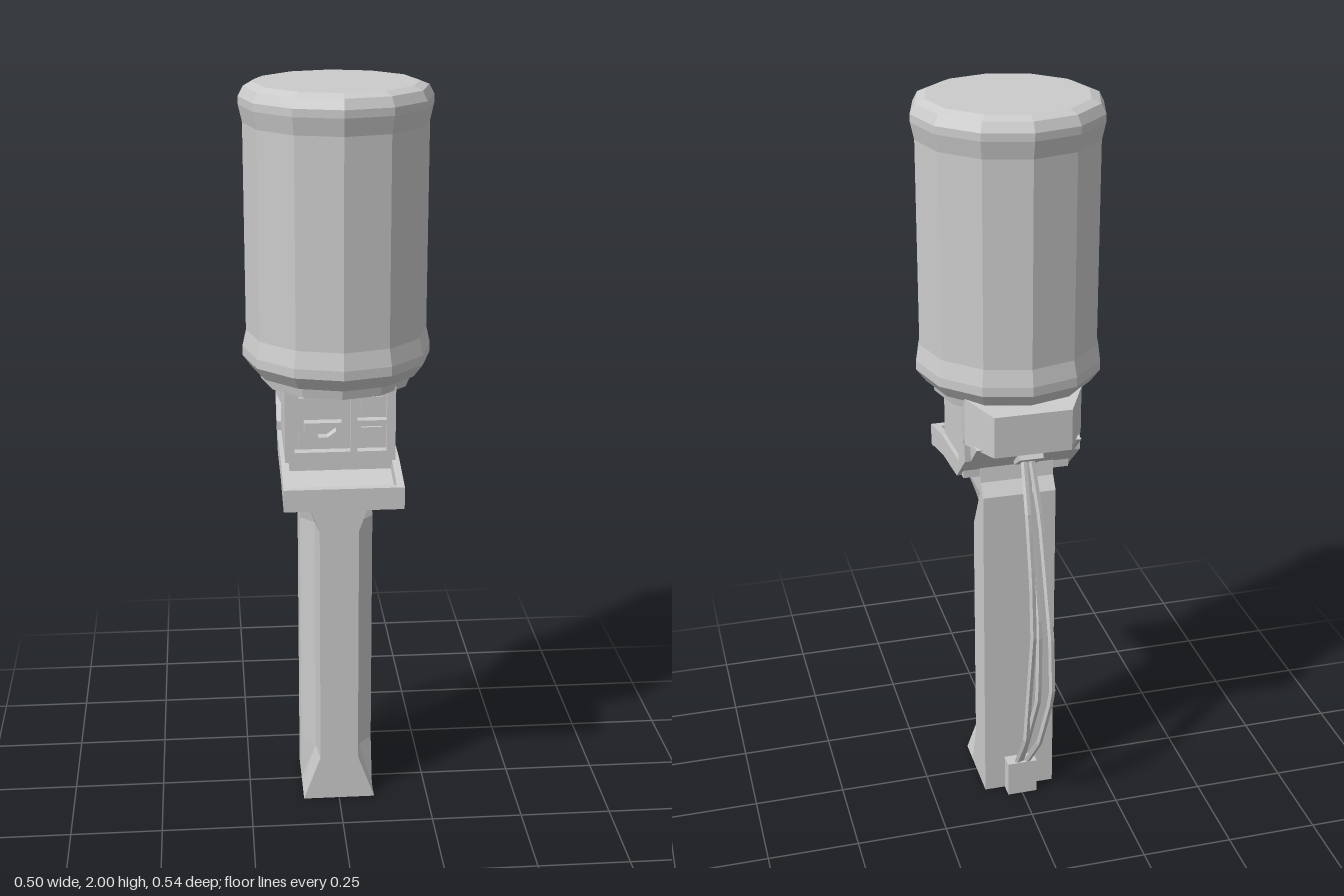
import * as THREE from 'three';

const mat = new THREE.MeshStandardMaterial({ color: 0xcccccc, flatShading: true });

export function createModel() {
  const model = new THREE.Group();

  const add = (name, geo, x = 0, y = 0, z = 0) => {
    const m = new THREE.Mesh(geo, mat);
    m.name = name;
    m.position.set(x, y, z);
    model.add(m);
    return m;
  };
  // box given by its limits on each axis
  const box = (name, x0, x1, y0, y1, z0, z1) =>
    add(name, new THREE.BoxGeometry(x1 - x0, y1 - y0, z1 - z0), (x0 + x1) / 2, (y0 + y1) / 2, (z0 + z1) / 2);
  const shapeOf = (pts) => new THREE.Shape(pts.map((p) => new THREE.Vector2(...p)));
  const extrude = (shape, depth) => new THREE.ExtrudeGeometry(shape, { depth, bevelEnabled: false });
  // (z, y) outline extruded across x
  const sideProfile = (name, pts, width, x) =>
    add(name, extrude(shapeOf(pts), width).rotateY(-Math.PI / 2), x + width / 2);

  // closed loft through rings that run counter-clockwise seen from above
  const loft = (rings) => {
    const n = rings[0].length, pos = rings.flat(2), idx = [];
    for (let i = 0; i < rings.length - 1; i++)
      for (let j = 0; j < n; j++) {
        const a = i * n + j, b = i * n + ((j + 1) % n);
        idx.push(a, b, b + n, a, b + n, a + n);
      }
    [0, rings.length - 1].forEach((r, end) => {
      const centre = pos.length / 3;
      for (let k = 0; k < 3; k++) pos.push(rings[r].reduce((s, p) => s + p[k], 0) / n);
      for (let j = 0; j < n; j++) {
        const a = r * n + j, b = r * n + ((j + 1) % n);
        idx.push(centre, ...(end ? [a, b] : [b, a]));
      }
    });
    const g = new THREE.BufferGeometry();
    g.setAttribute('position', new THREE.Float32BufferAttribute(pos, 3));
    g.setIndex(idx);
    g.computeVertexNormals();
    return g;
  };

  // Drum: twelve-sided canister with a bulge at either end and a short neck
  const drum = [[0, 1.225], [0.2, 1.225], [0.205, 1.25], [0.222, 1.255], [0.248, 1.29], [0.248, 1.315], [0.238, 1.36],
    [0.238, 1.9], [0.248, 1.945], [0.248, 1.965], [0.235, 1.99], [0.21, 2], [0, 2]];
  add('drum', new THREE.LatheGeometry(drum.map((p) => new THREE.Vector2(...p)), 12), 0, 0, 0.014);

  // Post: front corners are notched, closing to a full block at both ends
  const postRing = (y, front, inner, rear, back) => {
    const half = [[front, 0.116], inner, [0.1, rear], [0.1, back]];
    return [...half, ...half.map(([x, z]) => [-x, z]).reverse()].map(([x, z]) => [x, y, z]);
  };
  add('post', loft([
    postRing(0, 0.1, [0.1, 0.05], 0, -0.105),
    postRing(0.13, 0.053, [0.062, 0.045], 0.005, -0.105),
    postRing(0.82, 0.053, [0.062, 0.045], 0.005, -0.105),
    postRing(0.95, 0.1, [0.1, 0.045], -0.07, -0.105),
    postRing(0.985, 0.1, [0.1, 0.045], -0.07, -0.08),
    postRing(1.03, 0.1, [0.1, 0.045], -0.06, -0.075),
  ]));

  // Dispenser housing with a face plate cut by three openings
  box('housing', -0.145, 0.145, 1.0, 1.235, -0.07, 0.122);
  const openings = [[-0.12, 0.027, 1.06, 1.218], [0.045, 0.122, 1.145, 1.218], [0.045, 0.122, 1.06, 1.132]];
  const plate = shapeOf([[-0.145, 1.02], [0.145, 1.02], [0.145, 1.235], [-0.145, 1.235]]);
  for (const [x0, x1, y0, y1] of openings)
    plate.holes.push(new THREE.Path([[x0, y0], [x0, y1], [x1, y1], [x1, y0]].map((p) => new THREE.Vector2(...p))));
  add('facePlate', extrude(plate, 0.026), 0, 0, 0.122);
  box('door', -0.108, 0.015, 1.072, 1.205, 0.12, 0.132);
  box('coinPanel', 0.056, 0.111, 1.158, 1.207, 0.12, 0.14);
  box('returnPanel', 0.056, 0.111, 1.072, 1.12, 0.12, 0.13);
  const lip = shapeOf([[-0.095, 1.145], [-0.095, 1.12], [-0.068, 1.09], [-0.025, 1.09], [0.003, 1.12], [0.003, 1.145]]);
  lip.holes.push(new THREE.Path([[-0.08, 1.132], [-0.012, 1.132], [-0.012, 1.122], [-0.035, 1.105], [-0.058, 1.105], [-0.08, 1.122]]
    .map((p) => new THREE.Vector2(...p))));
  add('doorHandle', extrude(lip, 0.03), 0, 0, 0.13);

  // Tray: floor, two side rails rising to the rear box, and a front wall
  for (const s of [-1, 1])
    sideProfile('trayRail', [[0.275, 1.005], [0.14, 1.035], [-0.065, 1.05], [-0.065, 1.075], [-0.135, 1.14],
      [-0.135, 1.08], [-0.04, 0.995], [0.115, 0.98], [0.275, 0.945]], 0.02, s * 0.146);
  sideProfile('trayFloor', [[0.265, 0.965], [0.12, 1.0], [-0.06, 1.03], [-0.135, 1.14], [-0.2, 1.14],
    [-0.135, 1.08], [-0.04, 0.995], [0.115, 0.98], [0.265, 0.947]], 0.28, 0);
  box('trayFront', -0.156, 0.156, 0.945, 1.005, 0.255, 0.275);

  // Rear box with tapered back corners
  const rear = [[0.146, -0.06], [0.156, -0.14], [0.103, -0.238]];
  const rearRing = (y, drop) =>
    [...rear, ...rear.map(([x, z]) => [-x, z]).reverse()].map(([x, z]) => [x, z < -0.2 ? y - drop : y, z]);
  add('rearBox', loft([rearRing(1.132, 0), rearRing(1.262, 0.017)]));

  // Cables bowing out behind the post between two connectors
  box('lowerConnector', -0.042, 0.042, 0, 0.105, -0.145, -0.1);
  box('upperConnector', -0.05, 0.015, 1.055, 1.1, -0.155, -0.085).rotation.x = 0.6;
  const cables = [
    [[-0.025, 1.07, -0.125], [-0.04, 0.9, -0.175], [-0.05, 0.58, -0.25], [-0.052, 0.4, -0.26], [-0.03, 0.22, -0.215], [-0.015, 0.09, -0.125]],
    [[-0.005, 1.07, -0.125], [0.0, 0.92, -0.195], [-0.002, 0.75, -0.228], [-0.005, 0.58, -0.234], [0.005, 0.22, -0.2], [0.012, 0.09, -0.125]],
    [[-0.015, 1.07, -0.12], [-0.018, 0.86, -0.165], [-0.022, 0.6, -0.232], [-0.02, 0.38, -0.235], [0, 0.2, -0.185], [0, 0.09, -0.12]],
  ];
  for (const pts of cables) {
    const path = new THREE.CurvePath();
    const v = pts.map((p) => new THREE.Vector3(...p));
    for (let i = 1; i < v.length; i++) path.add(new THREE.LineCurve3(v[i - 1], v[i]));
    add('cable', new THREE.TubeGeometry(path, 20, 0.009, 5));
  }

  return model;
}
